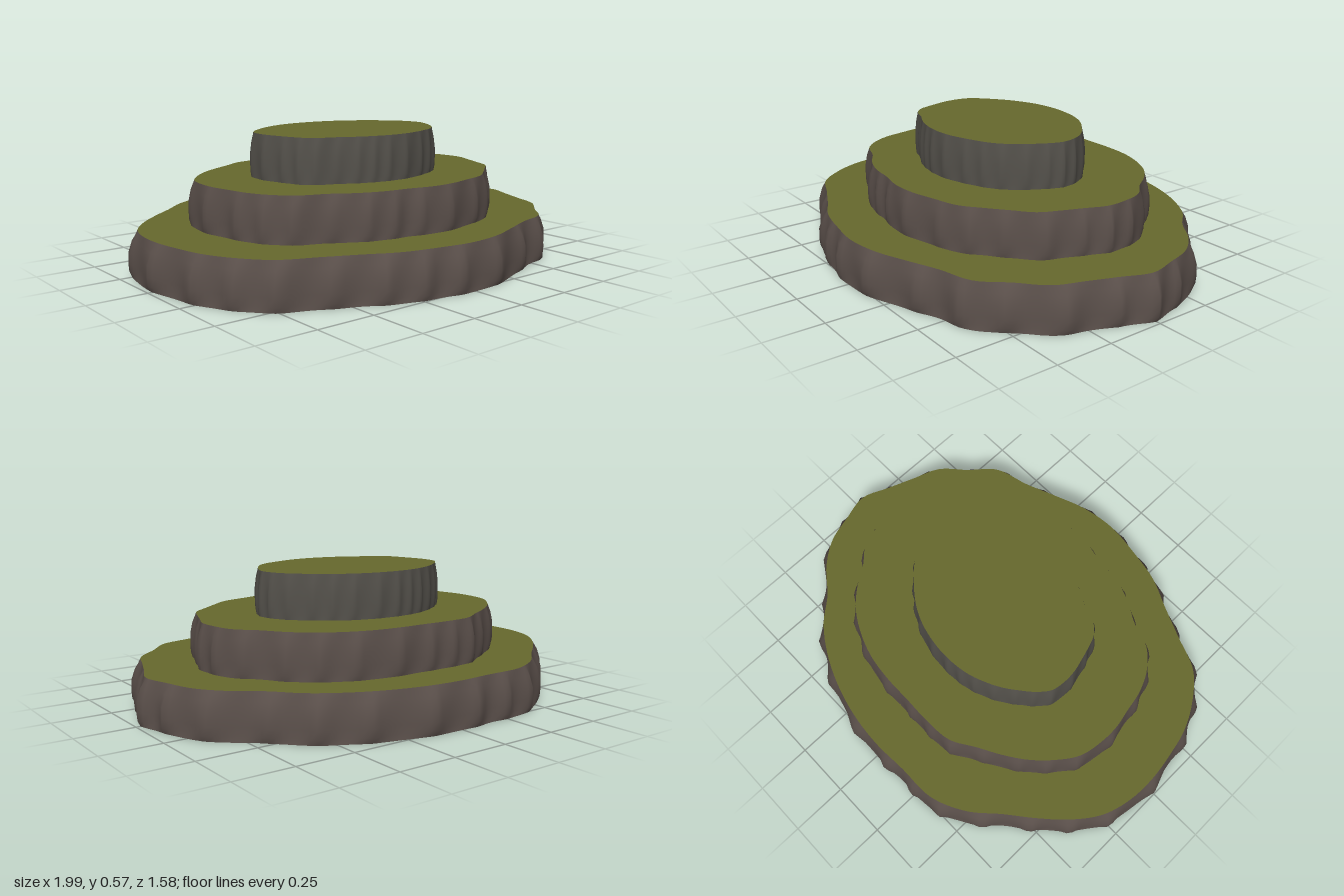
import * as THREE from 'three';

// Open shells: both faces show
const grass = new THREE.MeshStandardMaterial({ color: 0x67692d, side: THREE.DoubleSide });
grass.name = 'moss green';
const rock = new THREE.MeshStandardMaterial({ color: 0x5b504b, side: THREE.DoubleSide });
rock.name = 'brown rock';
const greyRock = new THREE.MeshStandardMaterial({ color: 0x54514b, side: THREE.DoubleSide });
greyRock.name = 'grey rock';

const HEIGHT = 0.19;
const SEGMENTS = 216;
const BUMPS = 28;
// Wall cross-section: height fraction, outward swell, strength of the ripples
const WALL = [[0, 0.6, 0.08], [0.12, 0.68, 0.25], [0.3, 0.7, 0.3], [0.55, 0.65, 0.3], [0.8, 0.38, 0.2], [1, 0, 0]];

// Closed rings of points, one for each step of the wall cross-section.
// The rim is an ellipse (a, b) with a wobble factor at equal angles.
function makeRings({ y, a, b, out, wobble }) {
  const points = wobble.map((f, i) => {
    const t = (i / wobble.length) * Math.PI * 2;
    return new THREE.Vector3(a * f * Math.cos(t), 0, -b * f * Math.sin(t));
  });
  const outline = new THREE.CatmullRomCurve3(points, true).getSpacedPoints(SEGMENTS).slice(0, SEGMENTS);
  return WALL.map(([h, swell, ripple]) => outline.map((p, i) => {
    const t = (i / SEGMENTS) * Math.PI * 2;
    const wave = 1 - 2 * Math.abs(Math.sin((BUMPS / 2) * t + 0.6 * Math.sin(3 * t) + 0.4 * Math.sin(7 * t)));
    const k = 1 + (out * (swell + ripple * wave)) / p.length();
    return new THREE.Vector3(p.x * k, y + HEIGHT * h, p.z * k);
  }));
}

function buildGeometry(points, indices) {
  const geometry = new THREE.BufferGeometry().setFromPoints(points);
  geometry.setIndex(indices);
  geometry.computeVertexNormals();
  return geometry;
}

// Rippled rock face joining the rings
function wallGeometry(rings) {
  const indices = [];
  for (let j = 0; j < rings.length - 1; j++) {
    for (let i = 0; i < SEGMENTS; i++) {
      const p = j * SEGMENTS + i;
      const q = j * SEGMENTS + ((i + 1) % SEGMENTS);
      indices.push(p, q, q + SEGMENTS, p, q + SEGMENTS, p + SEGMENTS);
    }
  }
  return buildGeometry(rings.flat(), indices);
}

// Flat fan filling the rim
function capGeometry(ring) {
  const indices = [];
  for (let i = 0; i < SEGMENTS; i++) indices.push(0, i + 1, ((i + 1) % SEGMENTS) + 1);
  return buildGeometry([new THREE.Vector3(0, ring[0].y, 0), ...ring], indices);
}

function addMesh(parent, name, geometry, material) {
  const mesh = new THREE.Mesh(geometry, material);
  mesh.name = name;
  parent.add(mesh);
}

// One terrace: rock wall, open below, with grass on top
function makeTerrace(name, material, shape) {
  const group = new THREE.Group();
  group.name = `${name}Terrace`;
  const rings = makeRings(shape);
  addMesh(group, `${name}RockWall`, wallGeometry(rings), material);
  addMesh(group, `${name}GrassTop`, capGeometry(rings[WALL.length - 1]), grass);
  return group;
}

export function createModel() {
  const model = new THREE.Group();
  model.name = 'terracedHill';
  model.add(
    makeTerrace('lower', rock, {
      y: 0, a: 0.95, b: 0.755, out: 0.046,
      wobble: [1, 0.983, 0.985, 0.965, 0.935, 0.962, 0.977, 0.987, 0.995, 1, 1.005, 1.045,
        1.03, 0.99, 0.988, 1.003, 1.017, 1.01, 1, 0.997, 1.011, 1.02, 1.022, 0.975,
        0.96, 0.978, 0.98, 0.993, 0.98, 0.953, 0.95, 0.994, 0.97, 0.983, 0.96, 0.965],
    }),
    makeTerrace('middle', rock, {
      y: HEIGHT, a: 0.7, b: 0.545, out: 0.03,
      wobble: [1, 1.01, 1.019, 0.988, 1.008, 1.03, 1.036, 1.031, 1.012, 1, 1.02, 1.045,
        1.008, 1.006, 1.014, 1.021, 1.03, 1.013, 1, 0.99, 1.008, 1.023, 1.018, 0.962,
        0.968, 0.965, 0.948, 0.975, 0.978, 0.97, 0.985, 0.96, 0.955, 0.976, 0.96, 0.965],
    }),
    makeTerrace('upper', greyRock, {
      y: HEIGHT * 2, a: 0.43, b: 0.33, out: 0.018,
      wobble: [0.978, 0.98, 0.973, 0.96, 0.945, 0.952, 0.967, 0.98, 0.989, 1, 1.01, 1.017,
        1.015, 1.018, 1.023, 1.045, 1.062, 1.038, 1.015, 0.998, 1.005, 1.03, 1.015, 0.953,
        0.952, 0.954, 0.955, 0.955, 0.945, 0.93, 0.928, 0.938, 0.935, 0.927, 0.93, 0.95],
    }),
  );
  return model;
}
